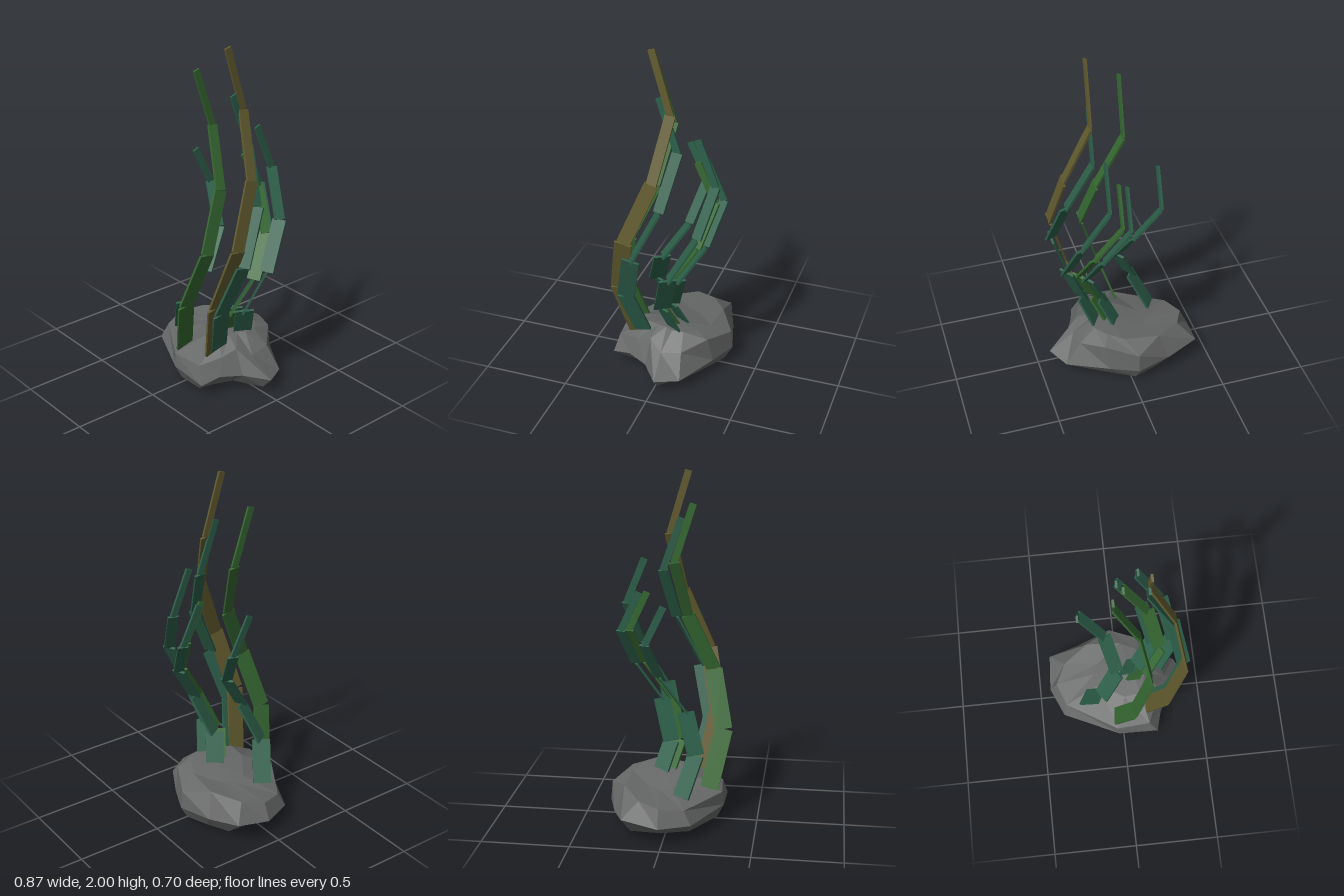
import * as THREE from 'three';

const mat = (name, color, extra = {}) => Object.assign(new THREE.MeshStandardMaterial({ color, ...extra }), { name });

// Faceted boulder: rings of twelve corners joined from the bottom to the top
function createRock(material) {
  const middle = [
    [-0.435, 0.1, -0.02], [-0.42, 0.14, -0.225], [-0.23, 0.11, -0.295], [-0.03, 0.1, -0.35],
    [0.13, 0.1, -0.28], [0.36, 0.08, -0.15], [0.43, 0.09, -0.02], [0.3, 0.1, 0.08],
    [0.24, 0.11, 0.2], [0.21, 0.08, 0.31], [-0.03, 0.1, 0.31], [-0.36, 0.1, 0.155],
  ];
  const shoulder = [
    [-0.39, 0.2, -0.02], [-0.33, 0.22, -0.14], [-0.18, 0.25, -0.245], [-0.03, 0.21, -0.34],
    [0.15, 0.25, -0.25], [0.27, 0.21, -0.13], [0.28, 0.19, -0.01], [0.23, 0.24, 0.07],
    [0.21, 0.21, 0.16], [0.16, 0.18, 0.285], [-0.04, 0.18, 0.3], [-0.34, 0.18, 0.115],
  ];
  const plateau = shoulder.map(([x, y, z]) => [
    x * 0.5 + 0.04, Math.min(0.29, 0.265 + x * 0.1), z * 0.55 - 0.04,
  ]);
  const base = middle.map(([x, y, z], i) => {
    const s = i === 6 ? 0.85 : 0.68;
    return [x * s, 0.018, z * 0.87];
  });
  const rings = [base, middle, shoulder, plateau];
  const corners = [];
  const n = middle.length;
  for (let i = 0; i < n; i++) {
    const j = (i + 1) % n;
    corners.push([0, 0, -0.1], base[i], base[j]);
    for (let r = 0; r < rings.length - 1; r++) {
      const [low, high] = [rings[r], rings[r + 1]];
      corners.push(low[i], high[i], high[j], low[i], high[j], low[j]);
    }
    corners.push(plateau[i], [0.08, 0.288, -0.05], plateau[j]);
  }
  const geometry = new THREE.BufferGeometry();
  geometry.setAttribute('position', new THREE.Float32BufferAttribute(corners.flat(), 3));
  geometry.computeVertexNormals();
  const rock = new THREE.Mesh(geometry, material);
  rock.name = 'rock';
  return rock;
}

// Curling path shared by every frond, as x and z offsets from its foot
const PATH = [[0, 0], [0.107, 0.07], [0.208, 0], [0.15, -0.145], [0.01, -0.205], [0.003, -0.1]];
const WIDTHS = [0.105, 0.1, 0.08, 0.06, 0.04];
// Horizontal direction of each blade's broad side
const STRAIGHT = WIDTHS.map(() => [0, 1]);
const TWISTED = [[-0.5, 0.86], [0.55, 0.83], [0.9, -0.4], [-0.35, 0.93], [0, 1]];
const HALF_TWISTED = STRAIGHT.map((side, i) => (i === 2 ? TWISTED[i] : side));

// A frond is five flat blades stacked along the path
function createFrond(name, [x, y, z], tip, facing, material) {
  const frond = new THREE.Group();
  frond.name = name;
  const step = (tip - y) / 5;
  const points = PATH.map(([dx, dz], i) => new THREE.Vector3(x + dx, y + step * i, z + dz));
  WIDTHS.forEach((width, i) => {
    const along = points[i + 1].clone().sub(points[i]);
    const length = along.length();
    along.normalize();
    const across = new THREE.Vector3(facing[i][0], 0, facing[i][1]);
    across.addScaledVector(along, -across.dot(along)).normalize();
    const thin = along.clone().cross(across);
    const blade = new THREE.Mesh(new THREE.BoxGeometry(0.013, length, width), material);
    blade.name = 'blade';
    blade.quaternion.setFromRotationMatrix(new THREE.Matrix4().makeBasis(thin, along, across));
    blade.position.copy(points[i]).lerp(points[i + 1], 0.5);
    frond.add(blade);
  });
  return frond;
}

export function createModel() {
  const model = new THREE.Group();
  model.name = 'seaweedRock';
  const stone = mat('stone grey', 0x666867, { flatShading: true });
  const teal = mat('teal', 0x2d5f4a);
  const green = mat('leaf green', 0x366832);
  const olive = mat('olive', 0x625b2f);

  model.add(
    createRock(stone),
    createFrond('tallOliveFrond', [0.15, 0.22, 0.175], 1.995, STRAIGHT, olive),
    createFrond('tallGreenFrond', [-0.047, 0.2, 0.225], 1.84, STRAIGHT, green),
    createFrond('tallTealFrond', [0.15, 0.22, 0.135], 1.73, HALF_TWISTED, teal),
    createFrond('middleTealFrond', [0.115, 0.2, -0.07], 1.5, TWISTED, teal),
    createFrond('shortGreenFrond', [0.035, 0.2, -0.045], 1.325, TWISTED, green),
    createFrond('backTealFrond', [0, 0.2, -0.085], 1.33, TWISTED, teal),
    createFrond('rightTealFrond', [-0.23, 0.21, 0.085], 1.305, TWISTED, teal),
  );
  return model;
}
